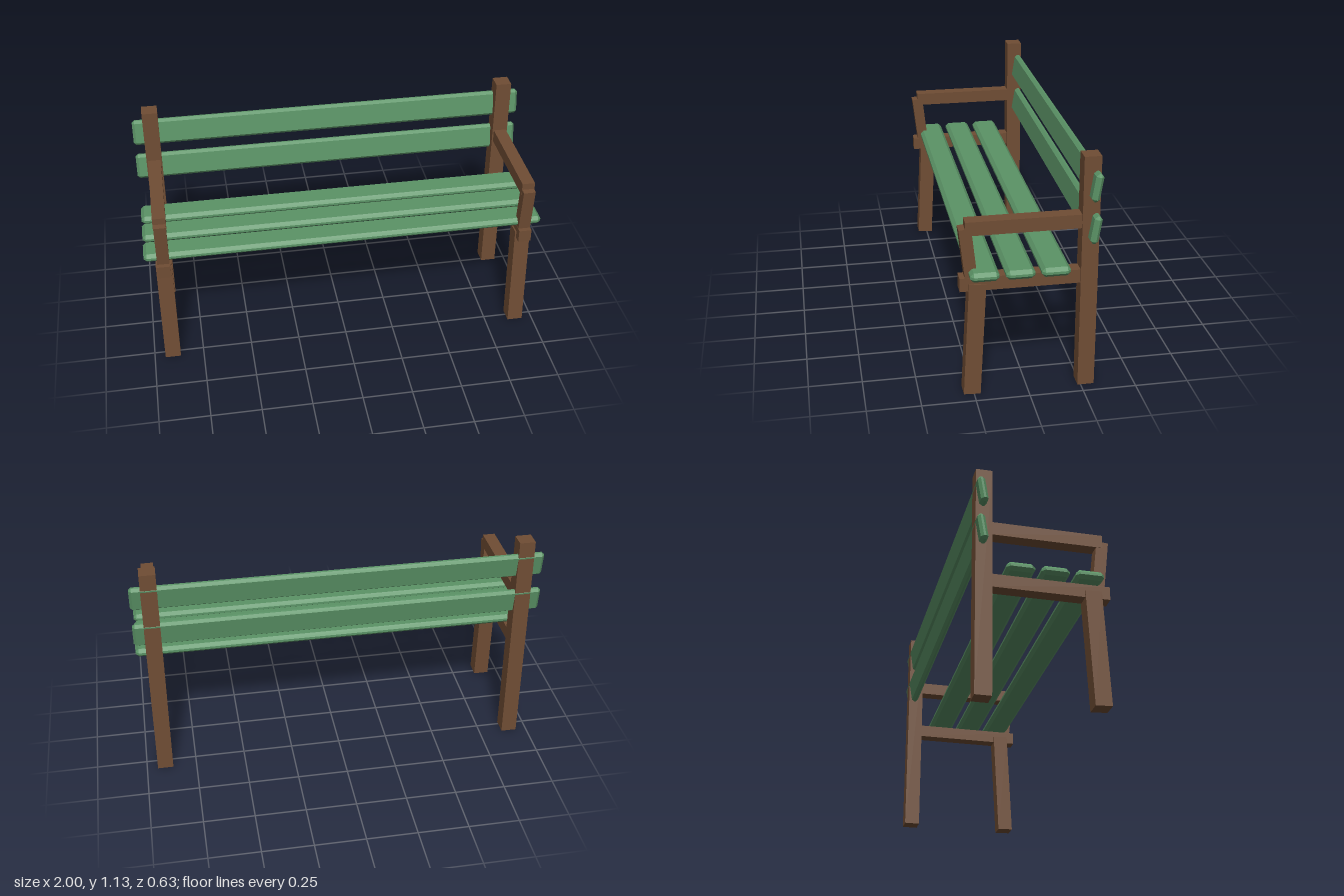
import * as THREE from 'three';
import { ConvexGeometry } from 'three/addons/geometries/ConvexGeometry.js';

// Box with single flat chamfers on every edge
function chamferedBox(w, h, d, b) {
  const points = [];
  const [x, y, z] = [w / 2, h / 2, d / 2];
  for (const sx of [-1, 1]) for (const sy of [-1, 1]) for (const sz of [-1, 1]) {
    points.push(
      new THREE.Vector3(sx * x, sy * (y - b), sz * (z - b)),
      new THREE.Vector3(sx * (x - b), sy * y, sz * (z - b)),
      new THREE.Vector3(sx * (x - b), sy * (y - b), sz * z),
    );
  }
  return new ConvexGeometry(points);
}

export function createModel() {
  const wood = new THREE.MeshStandardMaterial({ color: 0x704d34 });
  wood.name = 'brownWood';
  const paint = new THREE.MeshStandardMaterial({ color: 0x5b9366 });
  paint.name = 'greenPaint';

  const bench = new THREE.Group();
  bench.name = 'bench';

  const add = (parent, name, geometry, material, y, z, tilt = 0) => {
    const mesh = new THREE.Mesh(geometry, material);
    mesh.name = name;
    mesh.position.set(0, y, z);
    mesh.rotation.x = tilt;
    parent.add(mesh);
  };
  const box = (w, h, d) => new THREE.BoxGeometry(w, h, d);

  // Side frames, mirrored left and right
  for (const side of [-1, 1]) {
    const frame = new THREE.Group();
    frame.name = side > 0 ? 'leftFrame' : 'rightFrame';
    frame.position.x = side * 0.907;
    add(frame, 'backPost', box(0.078, 1.135, 0.078), wood, 0.5675, -0.274);
    add(frame, 'frontLeg', box(0.078, 0.56, 0.078), wood, 0.283, 0.246, -0.05);
    add(frame, 'seatRail', box(0.064, 0.065, 0.58), wood, 0.562, 0.022);
    add(frame, 'armrest', box(0.064, 0.065, 0.54), wood, 0.83, 0.015);
    add(frame, 'armSupport', box(0.06, 0.27, 0.056), wood, 0.695, 0.271, 0.11);
    bench.add(frame);
  }

  // Seat slats
  const seatSlat = chamferedBox(2, 0.044, 0.131, 0.016);
  [0.206, 0.046, -0.114].forEach((z) => add(bench, 'seatSlat', seatSlat, paint, 0.617, z));

  // Backrest slats, leaning backwards
  const backSlat = chamferedBox(2, 0.131, 0.036, 0.013);
  [0.804, 1.003].forEach((y) => add(bench, 'backSlat', backSlat, paint, y, -0.288, -0.16));

  return bench;
}
